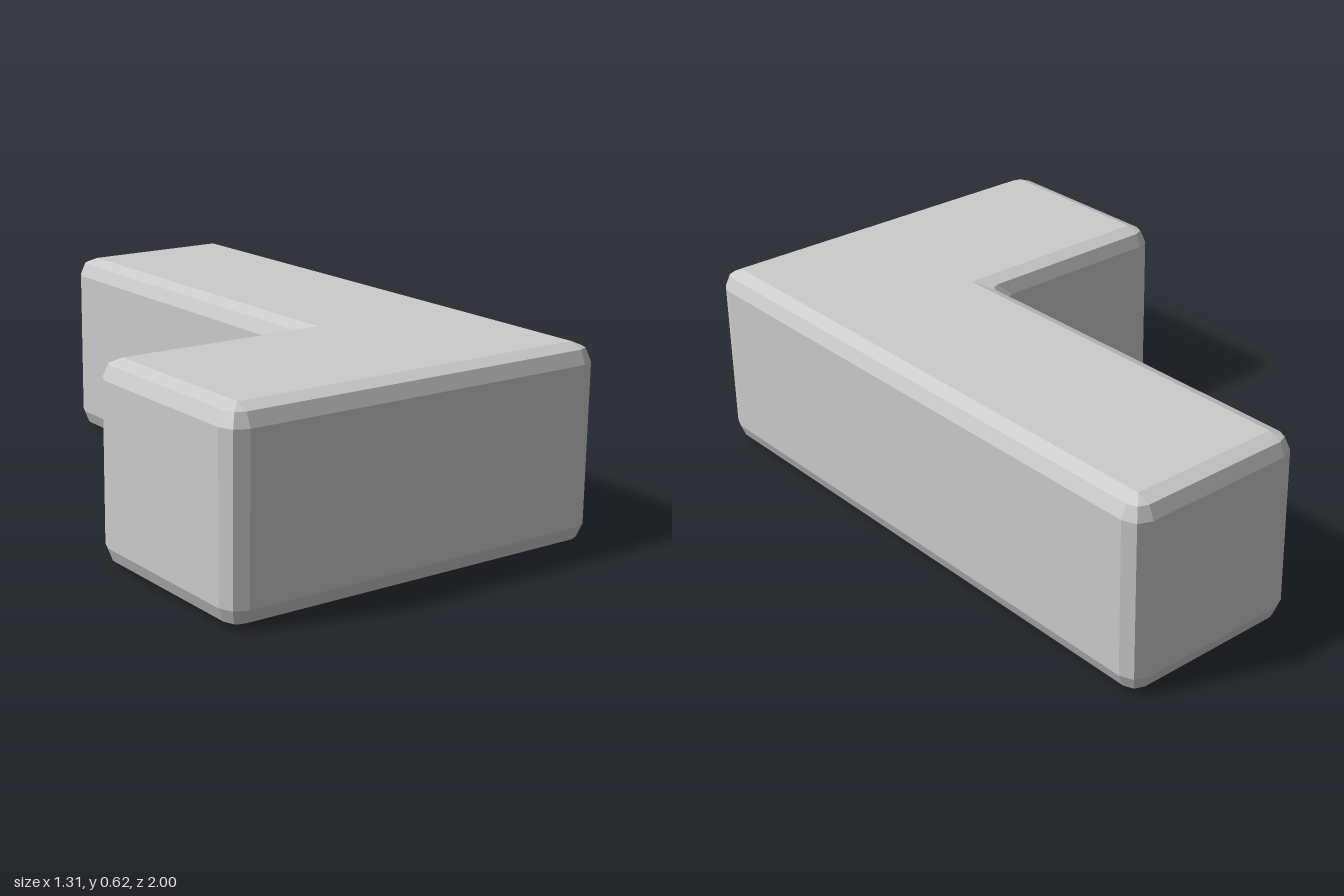
import * as THREE from 'three';

const HEIGHT = 0.62;
const BEVEL = 0.06;
// L-shaped footprint as [x, z], counter-clockwise seen from above
const OUTLINE = [[-0.655, 1], [0.655, 1], [0.655, -1], [0.035, -1], [0.035, 0.31], [-0.655, 0.31]]
  .map(([x, z]) => new THREE.Vector2(x, z));

// Footprint loop at one bevel angle (0 = wall, PI/2 = cap): three points per corner
function makeLoop(angle, y) {
  const inset = BEVEL * (1 - Math.cos(angle));
  const n = OUTLINE.length;
  return OUTLINE.flatMap((c, i) => {
    const d1 = c.clone().sub(OUTLINE[(i + n - 1) % n]).normalize();
    const d2 = OUTLINE[(i + 1) % n].clone().sub(c).normalize();
    const concave = d1.y * d2.x - d1.x * d2.y < 0;
    const radius = BEVEL * Math.cos(angle) ** (concave ? 2 : 1);
    const cx = c.x + (d1.y + d2.y) * inset;
    const cz = c.y - (d1.x + d2.x) * inset;
    const k = 1 - Math.SQRT1_2;
    return [[1, 0], [k, k], [0, 1]].map(([a, b]) => new THREE.Vector3(
      cx + (b * d2.x - a * d1.x) * radius, y, cz + (b * d2.y - a * d1.y) * radius));
  });
}

function bevelledBlock() {
  const angles = [Math.PI / 2, Math.PI / 4, 0];
  const rise = (a) => BEVEL * (1 - Math.sin(a));
  const loops = [
    ...angles.map((a) => makeLoop(a, rise(a))),
    ...[...angles].reverse().map((a) => makeLoop(a, HEIGHT - rise(a))),
  ];
  const points = [];

  // Walls and bevel strips, leaving out collapsed triangles
  const tri = (a, b, c) => {
    const area = b.clone().sub(a).cross(c.clone().sub(a)).length();
    if (area > 1e-8) points.push(a, b, c);
  };
  for (let l = 0; l < loops.length - 1; l++) {
    const low = loops[l], high = loops[l + 1];
    low.forEach((p, i) => {
      const j = (i + 1) % low.length;
      tri(p, low[j], high[j]);
      tri(p, high[j], high[i]);
    });
  }

  // Flat top and bottom, one point per corner
  const corners = (loop) => loop.filter((_, i) => i % 3 === 0);
  const bottom = corners(loops[0]), top = corners(loops[loops.length - 1]);
  const flat = top.map((p) => new THREE.Vector2(p.x, -p.z));
  for (const [a, b, c] of THREE.ShapeUtils.triangulateShape(flat, [])) {
    tri(top[a], top[b], top[c]);
    tri(bottom[a], bottom[c], bottom[b]);
  }

  const geometry = new THREE.BufferGeometry().setFromPoints(points);
  geometry.computeVertexNormals();
  return geometry;
}

export function createModel() {
  const group = new THREE.Group();
  group.name = 'lShapedBlock';
  const block = new THREE.Mesh(bevelledBlock(),
    new THREE.MeshStandardMaterial({ color: 0xcccccc, flatShading: true }));
  block.name = 'block';
  group.add(block);
  return group;
}
